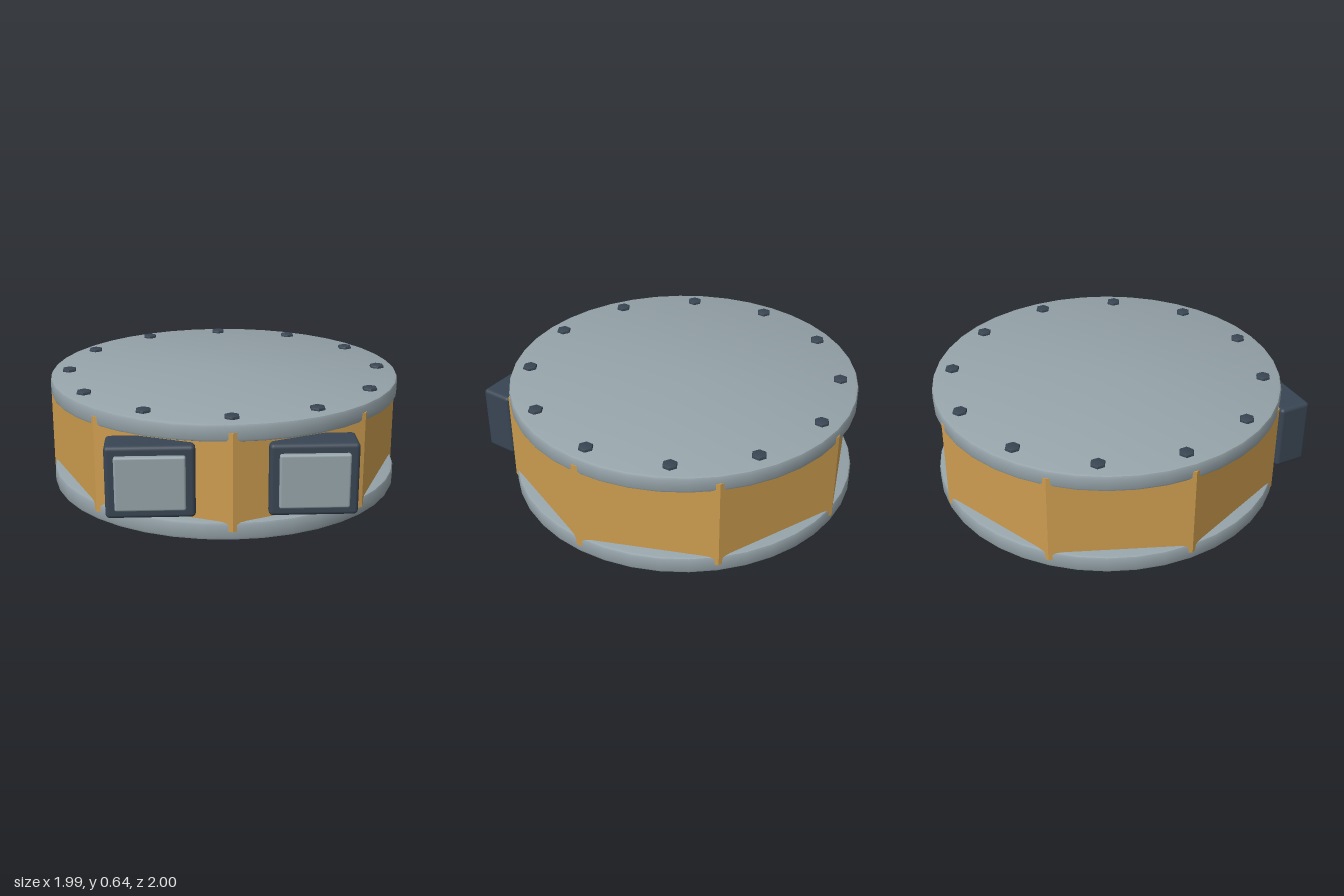
import * as THREE from 'three';
import { toCreasedNormals } from 'three/addons/utils/BufferGeometryUtils.js';
import { RoundedBoxGeometry } from 'three/addons/geometries/RoundedBoxGeometry.js';

export function createModel() {
  const model = new THREE.Group();
  model.name = 'drum';
  const material = (name, color) => {
    const m = new THREE.MeshStandardMaterial({ color });
    m.name = name;
    return m;
  };
  const steel = material('greySteel', 0x95a3a9);
  const gold = material('ochreShell', 0xcc9c4f);
  const dark = material('darkSlate', 0x394553);

  const add = (name, geometry, mat, x, y, z) => {
    const mesh = new THREE.Mesh(geometry, mat);
    mesh.name = name;
    mesh.position.set(x, y, z);
    model.add(mesh);
    return mesh;
  };
  const CZ = -0.005; // drum axis

  // Round plate with softly bevelled rims
  const plate = (height, radius, bevel, sides) => {
    const k = bevel * 0.3;
    const profile = [
      [0, 0], [radius - bevel, 0], [radius - k, k], [radius, bevel],
      [radius, height - bevel], [radius - k, height - k], [radius - bevel, height], [0, height],
    ].map(([x, y]) => new THREE.Vector2(x, y));
    return toCreasedNormals(new THREE.LatheGeometry(profile, sides), 0.6);
  };

  // Eight-sided shell whose corners just break through the plate rims
  const shell = toCreasedNormals(new THREE.CylinderGeometry(0.997, 0.997, 0.53, 8), 0.5);
  add('shell', shell, gold, 0, 0.315, CZ);

  add('bottomPlate', plate(0.1, 0.99, 0.016, 40), steel, 0, 0, CZ);
  add('topPlate', plate(0.097, 0.99, 0.016, 40), steel, 0, 0.528, CZ);

  // Ring of hexagonal bolts on the lid
  const bolt = plate(0.03, 0.042, 0.008, 6);
  for (let i = 0; i < 12; i++) {
    const a = (i / 12) * Math.PI * 2;
    add('bolt' + (i + 1), bolt, dark, Math.sin(a) * 0.888, 0.611, CZ + Math.cos(a) * 0.888);
  }

  // Two front housings with raised panels
  const housing = new RoundedBoxGeometry(0.455, 0.385, 0.19, 3, 0.022);
  const panel = new RoundedBoxGeometry(0.358, 0.288, 0.036, 3, 0.012);
  for (const [side, s] of [['left', 1], ['right', -1]]) {
    add(side + 'Housing', housing, dark, s * 0.412, 0.314, 0.869);
    add(side + 'Panel', panel, steel, s * 0.412, 0.317, 0.977);
  }
  return model;
}
